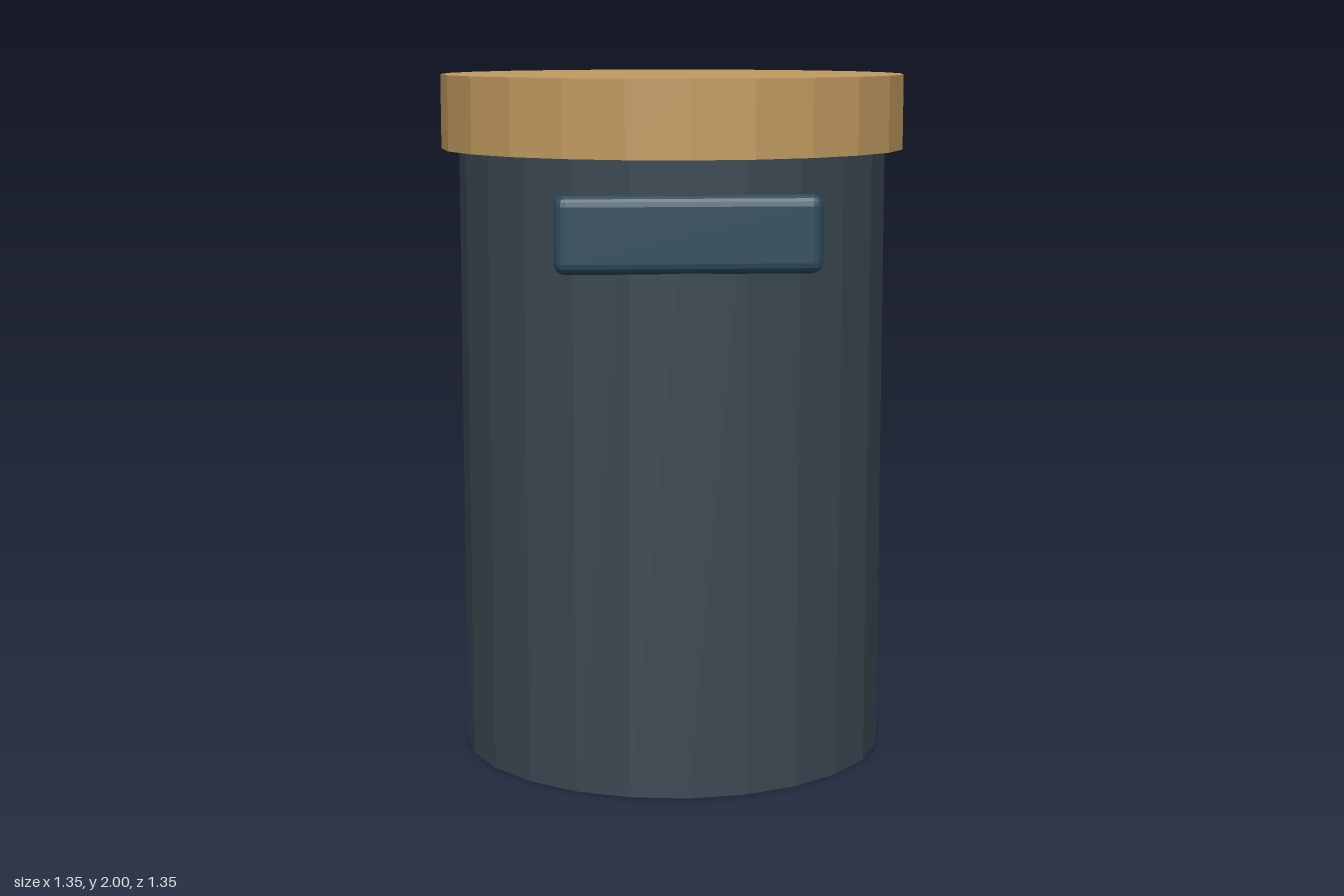
import * as THREE from 'three';
import { RoundedBoxGeometry } from 'three/addons/geometries/RoundedBoxGeometry.js';

const SIDES = 24;

function part(name, geometry, color, y, z = 0) {
  const material = new THREE.MeshStandardMaterial({ color, flatShading: true });
  const mesh = new THREE.Mesh(geometry, material);
  mesh.name = name;
  mesh.position.set(0, y, z);
  return mesh;
}

// Closed faceted drum
const drum = (radius, height) => new THREE.CylinderGeometry(radius, radius, height, SIDES);

export function createModel() {
  const group = new THREE.Group();
  group.name = 'canister';

  // Tall body, reaching just inside the lid
  group.add(part('body', drum(0.625, 1.8), 0x3a4752, 0.9));

  // Overhanging lid
  group.add(part('lid', drum(0.677, 0.215), 0xc29b60, 1.8925));

  // Soft-edged plate set into the front of the body
  const plate = new RoundedBoxGeometry(0.73, 0.214, 0.066, 2, 0.03);
  group.add(part('frontPlate', plate, 0x2e4b5c, 1.582, 0.608));

  return group;
}
